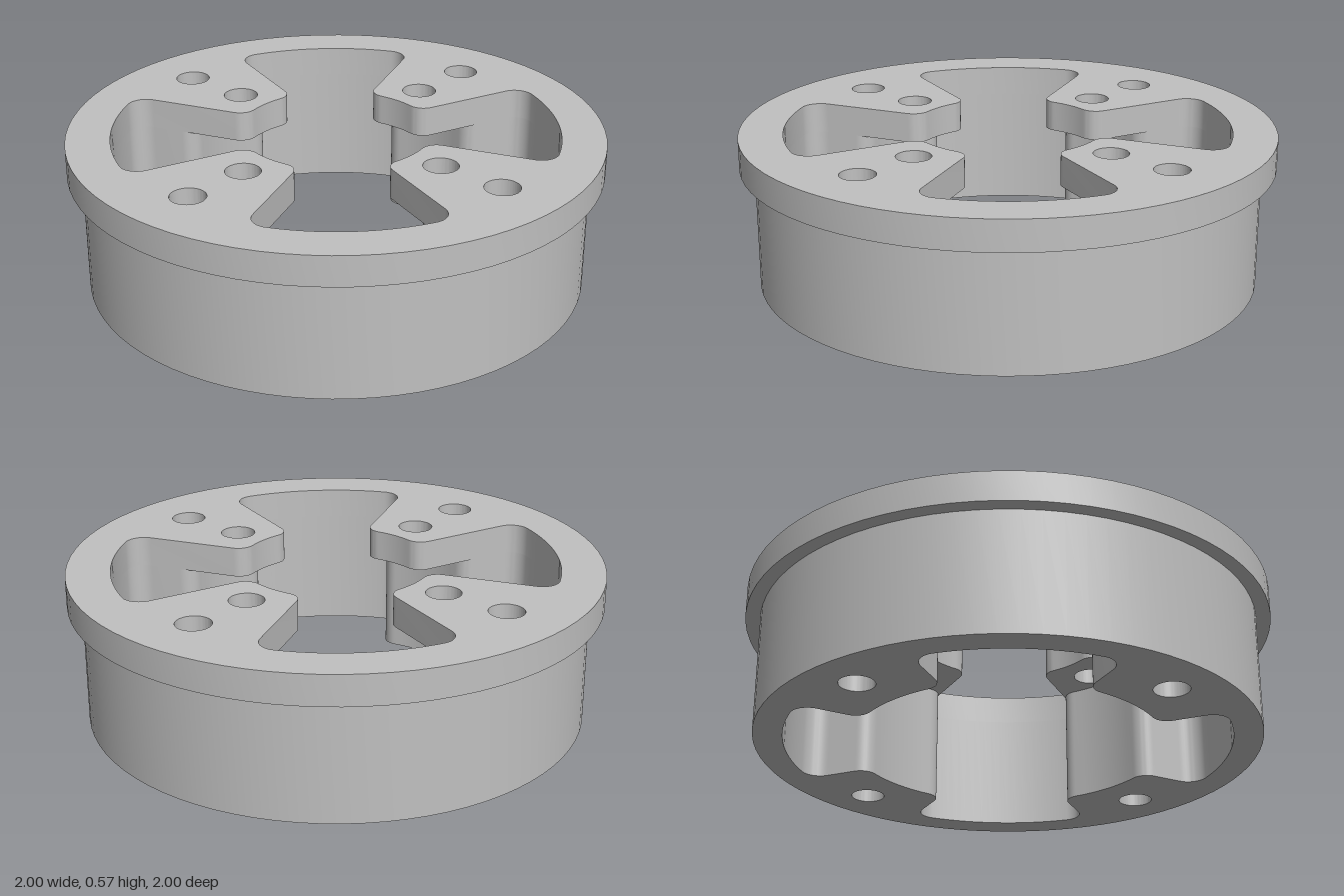
import * as THREE from 'three';
import { toCreasedNormals } from 'three/addons/utils/BufferGeometryUtils.js';

const POCKET_R = 0.835; // outer wall of the pockets
const FILLET = 0.07;    // rounding where a lug meets the wall
const TIP = 0.06;       // rounding of the lug corners
const HALF = THREE.MathUtils.degToRad(20); // half angle of a lug

// Append points along an arc, skipping a repeated joint point
function addArc(points, cx, cy, r, from, to, steps) {
  for (let i = 0; i <= steps; i++) {
    const a = from + (to - from) * i / steps;
    const p = new THREE.Vector2(cx + r * Math.cos(a), cy + r * Math.sin(a));
    if (!points.length || points[points.length - 1].distanceTo(p) > 1e-5) points.push(p);
  }
}

// Same, with the arc centre given in polar form
function addPolarArc(points, dist, angle, r, from, to, steps) {
  addArc(points, dist * Math.cos(angle), dist * Math.sin(angle), r, from, to, steps);
}

// Inner opening with four tapered lugs that end at radius bore
function openingPath(bore) {
  const points = [];
  const wall = HALF + Math.asin(FILLET / (POCKET_R - FILLET));
  const tip = HALF - Math.asin(TIP / (bore + TIP));
  const q = Math.PI / 2;
  for (let k = 0; k < 4; k++) {
    const a = k * q;
    addPolarArc(points, POCKET_R - FILLET, a - wall, FILLET, a - wall, a - HALF + q, 12);
    addPolarArc(points, bore + TIP, a - tip, TIP, a - HALF - q, a - tip - 2 * q, 10);
    addArc(points, 0, 0, bore, a - tip, a + tip, 8);
    addPolarArc(points, bore + TIP, a + tip, TIP, a + tip + 2 * q, a + HALF + q, 10);
    addPolarArc(points, POCKET_R - FILLET, a + wall, FILLET, a + HALF - q, a + wall, 12);
    addArc(points, 0, 0, POCKET_R, a + wall, a + q - wall, 16);
  }
  if (points[0].distanceTo(points[points.length - 1]) < 1e-5) points.pop();
  return new THREE.Path(points);
}

// Ring layer with lugs and rows of bolt holes
function makeLayer(name, radius, bore, holeRadii, y0, y1, material) {
  const shape = new THREE.Shape().absarc(0, 0, radius, 0, Math.PI * 2, false);
  shape.holes.push(openingPath(bore));
  for (const d of holeRadii) {
    for (let k = 0; k < 4; k++) {
      const a = k * Math.PI / 2;
      shape.holes.push(new THREE.Path().absarc(d * Math.cos(a), d * Math.sin(a), 0.065, 0, Math.PI * 2, true));
    }
  }
  const geo = new THREE.ExtrudeGeometry(shape, { depth: y1 - y0, bevelEnabled: false, curveSegments: 40 });
  geo.rotateX(-Math.PI / 2).translate(0, y0, 0);
  const mesh = new THREE.Mesh(toCreasedNormals(geo, 0.6), material);
  mesh.name = name;
  return mesh;
}

export function createModel() {
  const group = new THREE.Group();
  group.name = 'flangedHub';
  const metal = new THREE.MeshStandardMaterial({ color: 0xc0c0c0 });
  metal.name = 'grey metal';
  // Body with short lugs, then flange plate with long lugs
  group.add(makeLayer('body', 0.945, 0.585, [0.763], 0, 0.46, metal));
  group.add(makeLayer('flange', 1, 0.36, [0.763, 0.495], 0.46, 0.575, metal));
  return group;
}
